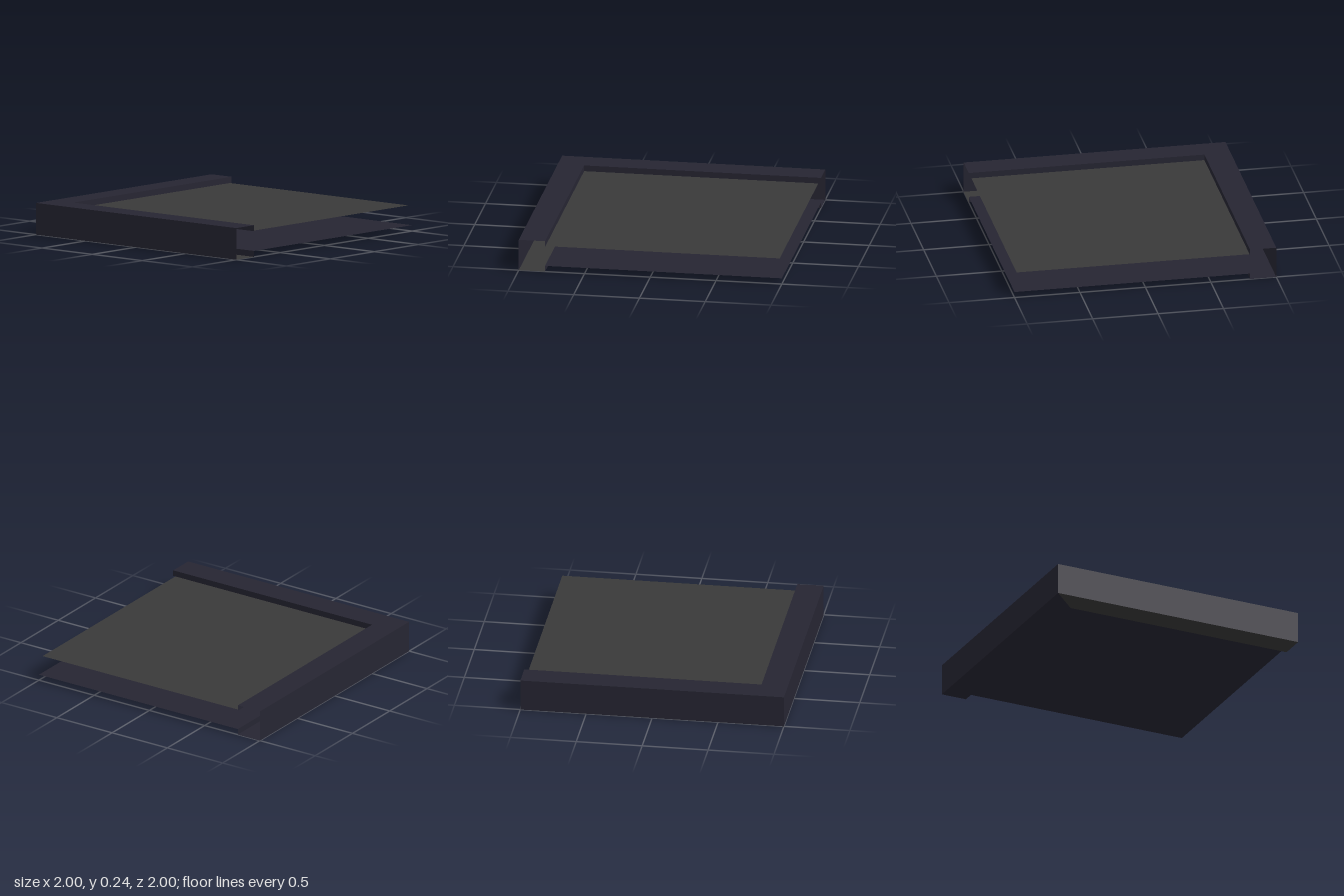
import * as THREE from 'three';

export function createModel() {
  const group = new THREE.Group();
  group.name = 'hollowCornerTile';

  const navy = new THREE.MeshStandardMaterial({ color: 0x262532, side: THREE.DoubleSide });
  navy.name = 'dark navy';
  const grey = new THREE.MeshStandardMaterial({ color: 0x393939, side: THREE.DoubleSide });
  grey.name = 'charcoal grey';

  const TOP = 0.24, STEP = 0.045, IN = -0.8;

  // Horizontal sheet from an [x, z] outline at height y, facing up or down
  function sheet(name, outline, y, material, up = true) {
    const s = up ? -1 : 1;
    const shape = new THREE.Shape(outline.map(([x, z]) => new THREE.Vector2(x, s * z)));
    const geometry = new THREE.ShapeGeometry(shape);
    geometry.rotateX(up ? -Math.PI / 2 : Math.PI / 2);
    const mesh = new THREE.Mesh(geometry, material);
    mesh.name = name;
    mesh.position.y = y;
    group.add(mesh);
  }

  // Upright sheet of a given length; turn is its rotation about y
  function wall(name, length, y0, y1, x, z, turn) {
    const mesh = new THREE.Mesh(new THREE.PlaneGeometry(length, y1 - y0), navy);
    mesh.name = name;
    mesh.position.set(x, (y0 + y1) / 2, z);
    mesh.rotation.y = turn;
    group.add(mesh);
  }

  const square = (a, b) => [[a, a], [b, a], [b, b], [a, b]];

  // Raised border on top, along the back and one side
  sheet('topBorder', [[-1, -1], [1, -1], [1, IN], [IN, IN], [IN, 1], [-1, 1]], TOP, navy);

  // Lower border, mitred at the corner
  sheet('bottomSideBorder', [[-1, -1], [IN, IN], [IN, 1], [-1, 1]], 0, grey, false);
  sheet('bottomBackBorder', [[-1, -1], [1, -1], [1, IN], [IN, IN]], 0, navy, false);

  // Recessed panels
  sheet('topPanel', square(IN, 0.98), TOP - STEP, grey);
  sheet('bottomPanel', square(IN, 1), STEP, navy, false);

  // Outer walls; the other two sides stay open
  wall('backWall', 2, 0, TOP, 0, -1, Math.PI);
  wall('sideWall', 2, 0, TOP, -1, 0, -Math.PI / 2);

  // Small steps between the borders and the panels
  for (const [label, y0, y1] of [['top', TOP - STEP, TOP], ['bottom', 0, STEP]]) {
    wall(label + 'BackStep', 1.8, y0, y1, 0.1, IN, 0);
    wall(label + 'SideStep', 1.8, y0, y1, IN, 0.1, Math.PI / 2);
  }

  return group;
}
